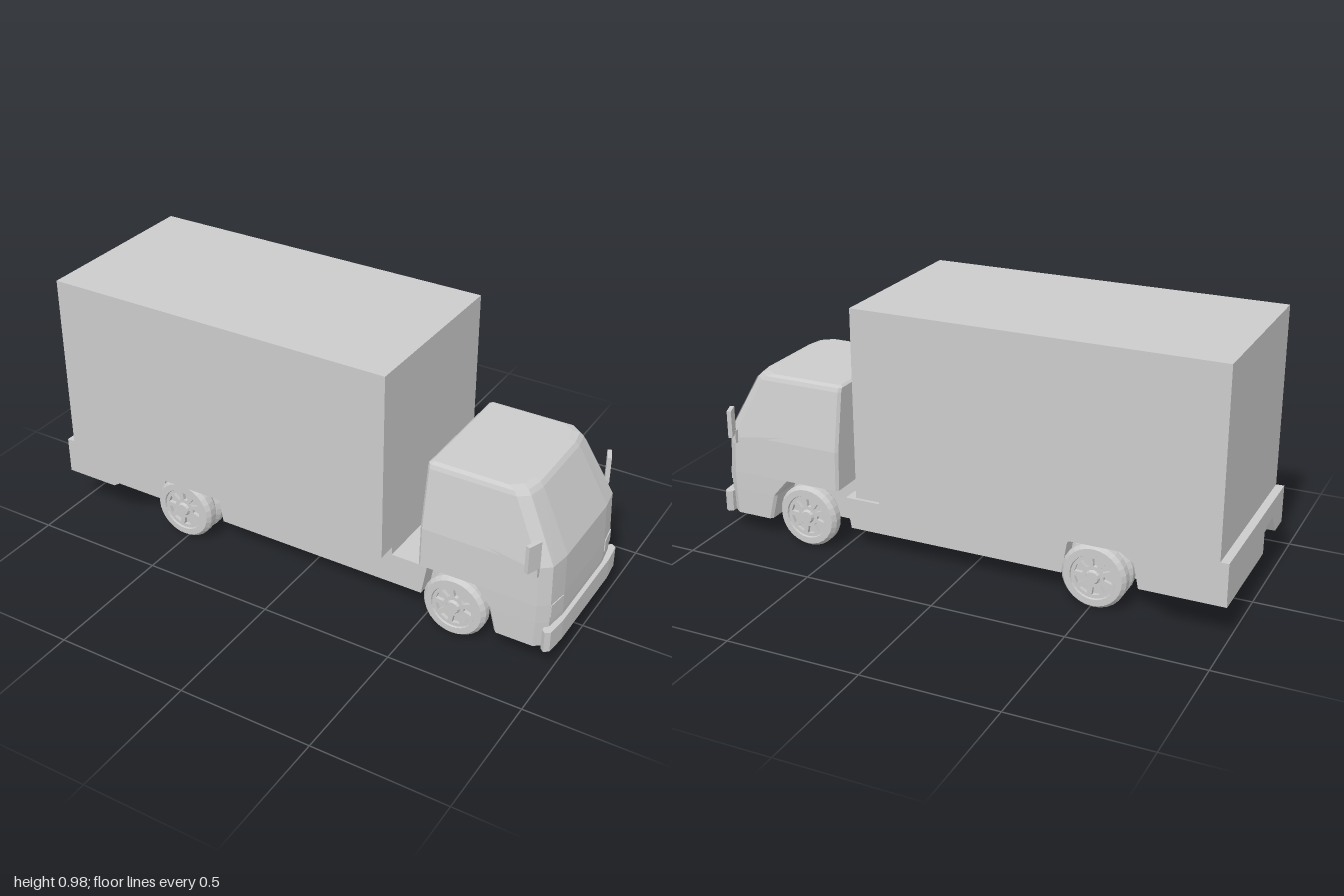
import * as THREE from 'three';

const mat = new THREE.MeshStandardMaterial({ color: 0xcccccc, flatShading: true });
const thin = new THREE.MeshStandardMaterial({ color: 0xcccccc, flatShading: true, side: THREE.DoubleSide });

function add(parent, name, geo, material = mat) {
  const m = new THREE.Mesh(geo, material);
  m.name = name;
  parent.add(m);
  return m;
}

function box(x0, x1, y0, y1, z0, z1) {
  return new THREE.BoxGeometry(x1 - x0, y1 - y0, z1 - z0)
    .translate((x0 + x1) / 2, (y0 + y1) / 2, (z0 + z1) / 2);
}

const shapeOf = pts => new THREE.Shape(pts.map(p => new THREE.Vector2(p[0], p[1])));

// Side profile in x/y, extruded from z0 to z1
function slab(pts, z0, z1) {
  return new THREE.ExtrudeGeometry(shapeOf(pts), { depth: z1 - z0, bevelEnabled: false }).translate(0, 0, z0);
}

// Closed solid through convex horizontal rings, ordered bottom to top
function loft(rings) {
  const n = rings[0].length, pos = rings.flat(2), idx = [];
  for (let i = 0; i < rings.length - 1; i++) {
    for (let j = 0; j < n; j++) {
      const a = i * n + j, b = i * n + (j + 1) % n;
      idx.push(a, b, b + n, a, b + n, a + n);
    }
  }
  const top = (rings.length - 1) * n;
  for (let j = 1; j < n - 1; j++) idx.push(0, j + 1, j, top, top + j, top + j + 1);
  const g = new THREE.BufferGeometry();
  g.setAttribute('position', new THREE.Float32BufferAttribute(pos, 3));
  g.setIndex(idx);
  g.computeVertexNormals();
  return g;
}

// Cab heights: [y, front x, half width]
const cabLevels = [
  [0.08, 0.982, 0.283], [0.18, 0.985, 0.285], [0.25, 0.985, 0.285], [0.40, 0.98, 0.28],
  [0.62, 0.868, 0.243], [0.635, 0.855, 0.237], [0.642, 0.83, 0.222],
];

function cabAt(y) {
  let i = 0;
  while (i < cabLevels.length - 2 && y > cabLevels[i + 1][0]) i++;
  const a = cabLevels[i], b = cabLevels[i + 1], t = (y - a[0]) / (b[0] - a[0]);
  return { f: a[1] + (b[1] - a[1]) * t, w: a[2] + (b[2] - a[2]) * t };
}

function cabRing(y, back) {
  const { f, w } = cabAt(y);
  const half = [[f, 0.6 * w], [f - 0.012, w - 0.03], [f - 0.05, w], [back + 0.01, w], [back, w - 0.01]];
  return [
    [f, y, 0.6 * w],
    ...half.map(([x, z]) => [x, y, -z]),
    ...half.slice(1).reverse().map(([x, z]) => [x, y, z]),
  ];
}

function wheel(x, z, side) {
  const g = new THREE.Group();
  g.name = 'wheel';
  const profile = [[0.082, -0.03], [0.108, -0.03], [0.12, -0.014], [0.12, 0.014], [0.108, 0.03], [0.084, 0.03], [0.08, 0.018], [0.08, -0.03]];
  const tyre = new THREE.LatheGeometry(profile.map(p => new THREE.Vector2(p[0], p[1])), 28);
  add(g, 'tyre', tyre.rotateX(Math.PI / 2), thin);
  // Rim face with wedge-shaped openings between the spokes
  const face = new THREE.Shape().absarc(0, 0, 0.083, 0, Math.PI * 2);
  for (let i = 0; i < 9; i++) {
    const a = i * Math.PI * 2 / 9, at = (r, d) => new THREE.Vector2(r * Math.cos(a + d), r * Math.sin(a + d));
    face.holes.push(new THREE.Path([at(0.04, -0.16), at(0.04, 0.16), at(0.07, 0.22), at(0.07, -0.22)]));
  }
  add(g, 'rim', new THREE.ExtrudeGeometry(face, { depth: 0.014, bevelEnabled: false, curveSegments: 14 }).translate(0, 0, 0.009));
  add(g, 'rimBack', new THREE.CylinderGeometry(0.081, 0.081, 0.03, 28).rotateX(Math.PI / 2).translate(0, 0, -0.013));
  add(g, 'hub', new THREE.CylinderGeometry(0.022, 0.028, 0.012, 12).rotateX(Math.PI / 2).translate(0, 0, 0.027));
  g.position.set(x, 0.12, z);
  if (side < 0) g.rotation.y = Math.PI;
  return g;
}

export function createModel() {
  const truck = new THREE.Group();
  truck.name = 'boxTruck';

  // Cargo body
  add(truck, 'cargoBox', box(-0.97, 0.38, 0.27, 0.98, -0.34, 0.34));

  // Chassis: full-length core plus outer sides with wheel arches cut out
  add(truck, 'chassisCore', slab([
    [-0.97, 0.08], [0.8, 0.08], [0.8, 0.27], [0.49, 0.27], [0.49, 0.2], [0.355, 0.2], [0.355, 0.272], [-0.97, 0.272],
  ], -0.155, 0.155));
  const sideProfile = [
    [-0.97, 0.08], [-0.655, 0.08], [-0.63, 0.2], [-0.58, 0.25], [-0.51, 0.267], [-0.44, 0.25], [-0.39, 0.2], [-0.37, 0.08],
    [0.475, 0.08], [0.495, 0.2], [0.355, 0.2], [0.355, 0.272], [-0.97, 0.272],
  ];

  // Rear bar with a notch in its lower edge
  add(truck, 'rearBar', new THREE.ExtrudeGeometry(shapeOf([
    [-0.34, 0.165], [-0.25, 0.165], [-0.2, 0.24], [0.2, 0.24], [0.25, 0.165], [0.34, 0.165], [0.34, 0.305], [-0.34, 0.305],
  ]), { depth: 0.03, bevelEnabled: false }).rotateY(Math.PI / 2).translate(-1, 0, 0));

  // Cab: shell above the wheels and nose in front of them
  const cab = new THREE.Group();
  cab.name = 'cab';
  truck.add(cab);
  add(cab, 'cabShell', loft([0.25, 0.4, 0.62, 0.635, 0.642].map((y, i) => cabRing(y, i === 4 ? 0.5 : 0.49))));
  add(cab, 'cabNose', loft([[0.08, 0.785], [0.18, 0.76], [0.25, 0.7]].map(([y, b]) => cabRing(y, b))));

  // Front bumper wrapping around the corners
  const bumperRing = y => [
    [1, y, 0.2], [1, y, -0.2], [0.992, y, -0.28], [0.975, y, -0.293],
    [0.96, y, -0.28], [0.96, y, 0.28], [0.975, y, 0.293], [0.992, y, 0.28],
  ];
  add(cab, 'bumper', loft([bumperRing(0.08), bumperRing(0.16)]));

  // Windscreen following the front of the cab
  const row = y => {
    const { f, w } = cabAt(y);
    return [[f - 0.01, w - 0.034], [f, 0.6 * w], [f, -0.6 * w], [f - 0.01, 0.034 - w]].map(([x, z]) => [x + 0.003, y + 0.001, z]);
  };
  const glass = new THREE.BufferGeometry();
  glass.setAttribute('position', new THREE.Float32BufferAttribute([row(0.405), row(0.615)].flat(2), 3));
  glass.setIndex([0, 1, 2].flatMap(i => [i, i + 1, i + 5, i, i + 5, i + 4]));
  glass.computeVertexNormals();
  add(cab, 'windscreen', glass, thin);

  // Upright rack behind the cab
  add(truck, 'rearRack', slab([
    [0.455, 0.2], [0.485, 0.2], [0.485, 0.365], [0.468, 0.385], [0.468, 0.535], [0.455, 0.535], [0.455, 0.375],
    [0.473, 0.355], [0.473, 0.3], [0.455, 0.28],
  ], -0.165, 0.165));

  for (const s of [1, -1]) {
    const span = (a, b) => (s > 0 ? [a, b] : [-b, -a]);
    add(truck, 'chassisSide', slab(sideProfile, ...span(0.155, 0.222)));
    // Rear side skirt rising ahead of the tail
    add(truck, 'rearSkirt', slab([
      [-0.97, 0.165], [-0.79, 0.165], [-0.62, 0.272], [-0.97, 0.272],
    ], ...span(0.22, 0.34)));

    // Side window laid on the sloping door
    const pane = new THREE.ShapeGeometry(shapeOf([
      [0.555, 0.44], [0.72, 0.42], [0.91, 0.37], [0.915, 0.39], [0.82, 0.59], [0.555, 0.585],
    ]));
    const p = pane.attributes.position;
    for (let i = 0; i < p.count; i++) p.setZ(i, s * (cabAt(p.getY(i)).w + 0.003));
    add(cab, 'sideWindow', pane, thin);

    // Headlight
    const lamp = add(cab, 'headlight', new THREE.BoxGeometry(0.012, 0.048, 0.075));
    lamp.position.set(0.976, 0.225, s * 0.217);
    lamp.rotation.y = -s * 0.14;

    // Door mirror, angled backwards, on a small arm
    const mirror = add(cab, 'mirror', new THREE.BoxGeometry(0.016, 0.105, 0.056));
    mirror.position.set(0.92, 0.462, s * 0.313);
    mirror.rotation.y = -s * 0.38;
    add(cab, 'mirrorArm', box(0.918, 0.932, 0.37, 0.42, ...span(0.278, 0.296)));

    // Single front wheels, twin rear wheels
    truck.add(wheel(0.63, s * 0.254, s), wheel(-0.51, s * 0.254, s), wheel(-0.51, s * 0.19, s));
  }
  return truck;
}
